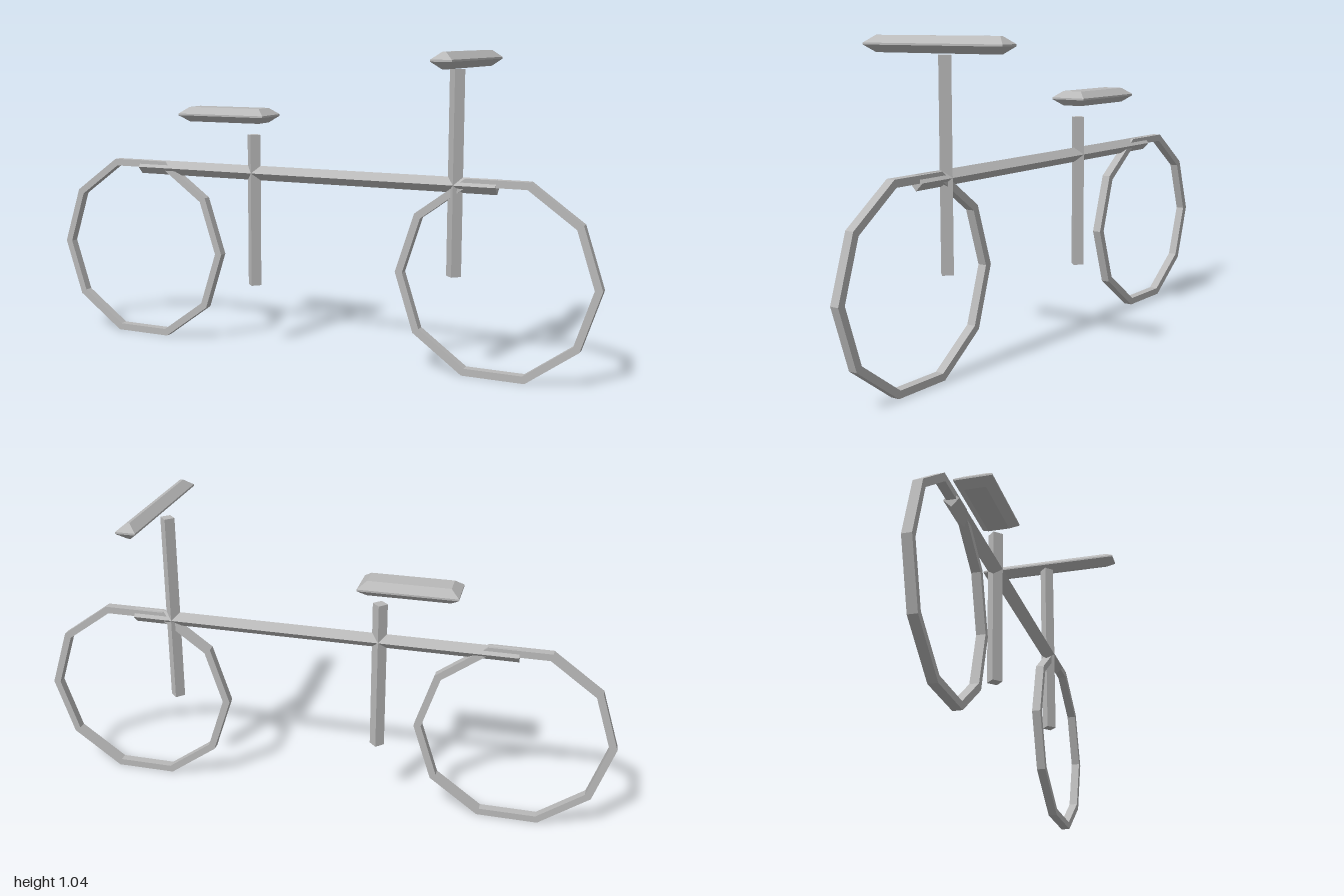
import * as THREE from 'three';

const grey = new THREE.MeshStandardMaterial({ color: 0xb8b8b8 });
grey.name = 'plainGrey';
grey.flatShading = true;

export function createModel() {
  const model = new THREE.Group();
  model.name = 'bicycle';

  const add = (name, geometry, x, y, z = 0) => {
    const mesh = new THREE.Mesh(geometry, grey);
    mesh.name = name;
    mesh.position.set(x, y, z);
    model.add(mesh);
    return mesh;
  };

  // Four-sided bar standing on one axis
  const bar = (length) => new THREE.CylinderGeometry(0.025, 0.025, length, 4);

  // Flat block whose sides slope to a thin blunt edge at mid-height
  const wedgeBlock = (halfX, halfZ, halfY, bevel) => {
    const a = halfX - bevel, b = halfZ - bevel, edge = 0.006;
    const shape = new THREE.Shape([
      new THREE.Vector2(-a, -b), new THREE.Vector2(a, -b),
      new THREE.Vector2(a, b), new THREE.Vector2(-a, b),
    ]);
    return new THREE.ExtrudeGeometry(shape, {
      depth: edge, bevelEnabled: true, bevelSegments: 1,
      bevelSize: bevel, bevelThickness: halfY - edge / 2,
    }).center().rotateX(-Math.PI / 2);
  };

  // Ten-sided rims with a flat tread
  const outer = 0.336, inner = 0.311, half = 0.015;
  const section = [[inner, -half], [outer, -half], [outer, half], [inner, half], [inner, -half]]
    .map(([r, y]) => new THREE.Vector2(r, y));
  const rim = new THREE.LatheGeometry(section, 10, Math.PI / 2).rotateX(Math.PI / 2);
  add('rearWheel', rim, -0.663, 0.326);
  add('frontWheel', rim, 0.663, 0.326);

  // Frame and posts
  add('frameTube', bar(1.32).rotateZ(Math.PI / 2), 0, 0.623);
  add('seatPost', bar(0.525), -0.2, 0.492);
  add('steeringPost', bar(0.66), 0.523, 0.657);

  // Seat and handlebar
  add('seat', wedgeBlock(0.164, 0.064, 0.025, 0.028), -0.298, 0.82);
  add('handlebar', wedgeBlock(0.033, 0.263, 0.026, 0.028), 0.558, 1.018);

  return model;
}
